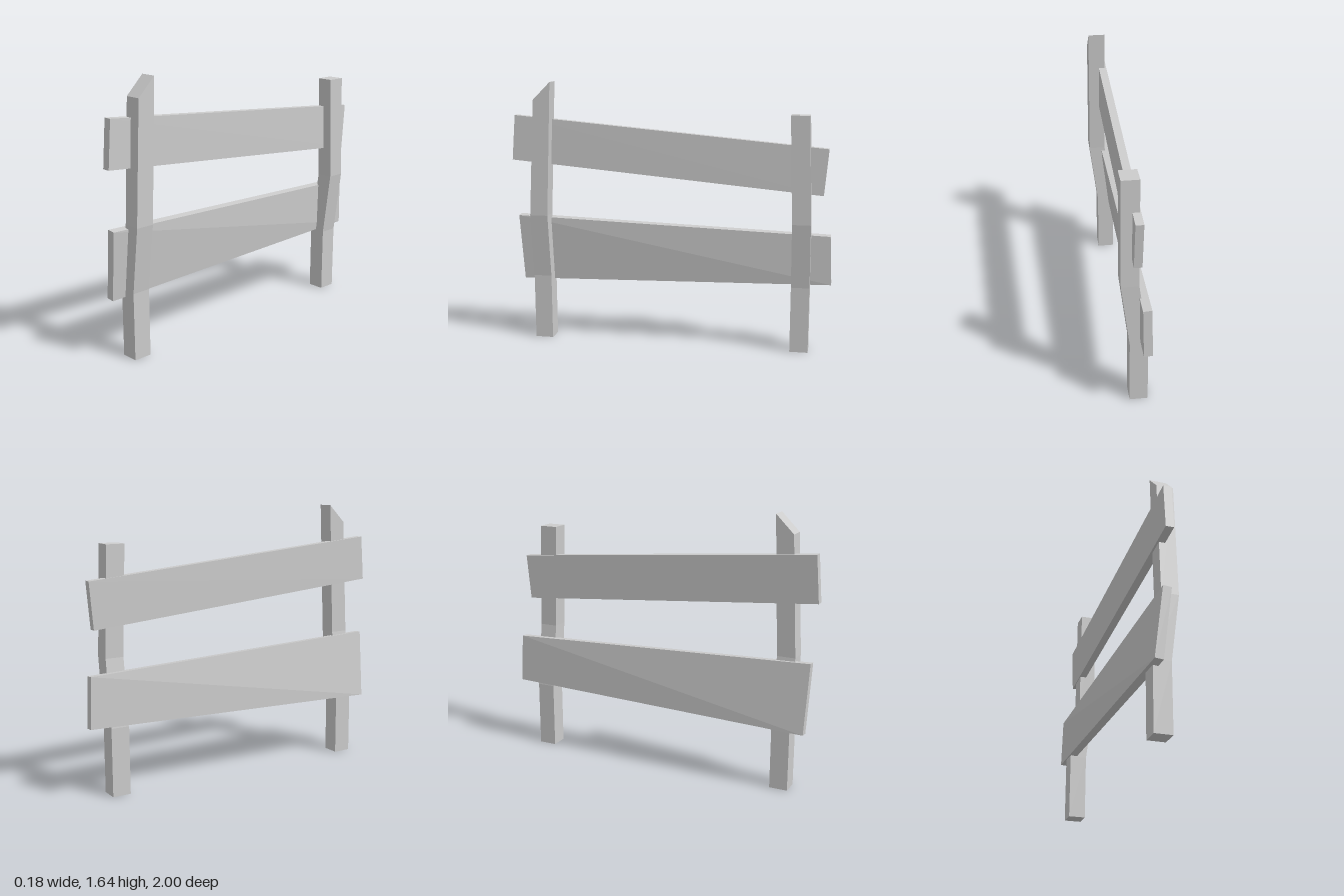
import * as THREE from 'three';

const material = new THREE.MeshStandardMaterial({ color: 0xcccccc, flatShading: true });

// Solid lofted through four-cornered rings, corners counter-clockwise seen from the last ring
function loft(name, rings) {
  const pos = [];
  const quad = (a, b, c, d) => [a, b, c, a, c, d].forEach((p) => pos.push(...p));
  for (let r = 0; r < rings.length - 1; r++) {
    for (let i = 0; i < 4; i++) {
      const j = (i + 1) % 4;
      quad(rings[r][i], rings[r][j], rings[r + 1][j], rings[r + 1][i]);
    }
  }
  quad(...rings[rings.length - 1]);
  quad(...[...rings[0]].reverse());
  const geometry = new THREE.BufferGeometry();
  geometry.setAttribute('position', new THREE.Float32BufferAttribute(pos, 3));
  geometry.computeVertexNormals();
  const mesh = new THREE.Mesh(geometry, material);
  mesh.name = name;
  return mesh;
}

// Post section: x range, z range, and the height at the front and back edges
const postRing = (x0, x1, z0, z1, yFront, yBack = yFront) => [
  [x0, yFront, z1], [x1, yFront, z1], [x1, yBack, z0], [x0, yBack, z0],
];

// Board end: bottom and top edges as [x, y, z] of the outer corner, extended by the thickness
const boardEnd = (bottom, top, thickness, drop = 0) => {
  const inner = ([x, y, z]) => [x + thickness, y - drop, z];
  return [bottom, inner(bottom), inner(top), top];
};

export function createModel() {
  const fence = new THREE.Group();
  fence.name = 'fence';

  // Crooked posts, leaning towards +x above the bend
  fence.add(loft('frontPost', [
    postRing(-0.072, 0.034, 0.76, 0.872, 0),
    postRing(-0.07, 0.036, 0.76, 0.872, 0.41),
    postRing(-0.014, 0.088, 0.76, 0.872, 0.81),
    postRing(-0.014, 0.088, 0.725, 0.835, 1.53, 1.64),
  ]));
  fence.add(loft('backPost', [
    postRing(-0.072, 0.034, -0.872, -0.76, 0),
    postRing(-0.07, 0.036, -0.872, -0.76, 0.41),
    postRing(-0.014, 0.088, -0.872, -0.76, 0.81),
    postRing(-0.014, 0.088, -0.85, -0.738, 1.46),
  ]));

  // Sloping upper board
  fence.add(loft('upperBoard', [
    boardEnd([-0.018, 0.98, -0.94], [-0.02, 1.26, -0.965], 0.046),
    boardEnd([-0.027, 1.15, 1.0], [-0.027, 1.43, 0.978], 0.049),
  ]));

  // Tapered, slightly twisted lower board
  fence.add(loft('lowerBoard', [
    boardEnd([-0.075, 0.425, -1.0], [-0.068, 0.728, -0.988], 0.05, 0.004),
    boardEnd([-0.091, 0.374, 0.96], [-0.041, 0.797, 0.973], 0.05, 0.005),
  ]));

  return fence;
}
